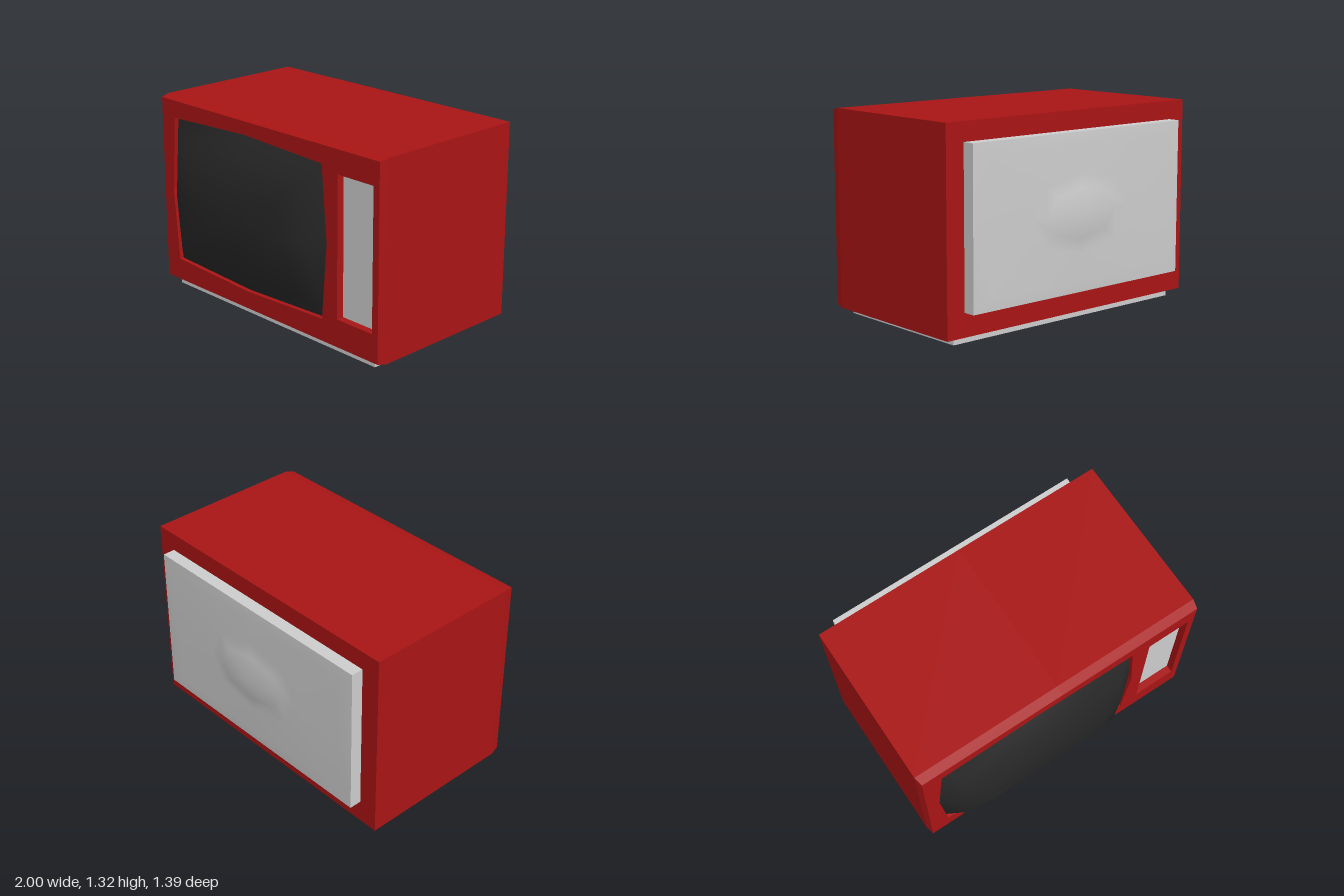
import * as THREE from 'three';

const grey = new THREE.MeshStandardMaterial({ color: 0xcccccc });
const red = new THREE.MeshStandardMaterial({ color: 0xa81414 });
const black = new THREE.MeshStandardMaterial({ color: 0x262626 });

// Eight-point outline, counter-clockwise from +z; k pulls in the corners
function outline(cx, cy, w, h, z, k = 1) {
  return [[1, 0], [k, k], [0, 1], [-k, k], [-1, 0], [-k, -k], [0, -1], [k, -k]]
    .map(([x, y]) => new THREE.Vector3(cx + x * w, cy + y * h, z));
}

// Joins outlines into a skin, optionally closed at the end by a fan to a tip
function loft(rings, tip, flat) {
  const n = rings[0].length, index = [];
  const points = rings.flat();
  for (let i = 0; i < rings.length - 1; i++) {
    for (let j = 0; j < n; j++) {
      const a = i * n + j, b = i * n + (j + 1) % n;
      index.push(a, b, b + n, a, b + n, a + n);
    }
  }
  if (tip) {
    const last = (rings.length - 1) * n;
    for (let j = 0; j < n; j++) index.push(points.length, last + j, last + (j + 1) % n);
    points.push(tip);
  }
  let geo = new THREE.BufferGeometry().setFromPoints(points);
  geo.setIndex(index);
  if (flat) geo = geo.toNonIndexed();
  geo.computeVertexNormals();
  return geo;
}

export function createModel() {
  const model = new THREE.Group();
  model.name = 'television';
  const add = (parent, name, geo, mat, x = 0, y = 0, z = 0) => {
    const mesh = new THREE.Mesh(geo, mat);
    mesh.name = name;
    mesh.position.set(x, y, z);
    parent.add(mesh);
    return mesh;
  };

  // Cabinet: outer walls with a small front chamfer, open-holed front, closed back
  const cabinet = new THREE.Group();
  cabinet.name = 'cabinet';
  model.add(cabinet);
  const cy = 0.685, front = 0.57, back = -0.555;
  const edge = outline(0, cy, 0.987, 0.622, front);
  add(cabinet, 'cabinetWalls', loft([
    outline(0, cy, 1, 0.635, back), outline(0, cy, 1, 0.635, 0.51), edge,
  ], null, true), red);
  add(cabinet, 'cabinetBack', new THREE.PlaneGeometry(2, 1.27), red, 0, cy, back).rotation.y = Math.PI;

  const screenEdge = z => outline(-0.17, 0.7, 0.73, 0.52, z, 0.944);
  const panelEdge = z => outline(0.795, 0.7, 0.145, 0.455, z);
  const face = new THREE.Shape(edge);
  for (const hole of [screenEdge(front), panelEdge(front)]) face.holes.push(new THREE.Path(hole));
  add(cabinet, 'cabinetFront', new THREE.ShapeGeometry(face), red, 0, 0, front);
  add(cabinet, 'screenRecess', loft([screenEdge(front), screenEdge(0.54)], null, true), red);
  add(cabinet, 'panelRecess', loft([panelEdge(front), panelEdge(0.52)], null, true), red);

  // Recessed control panel
  add(model, 'controlPanel', new THREE.PlaneGeometry(0.29, 0.91), grey, 0.795, 0.7, 0.52);

  // Bulging picture tube
  add(model, 'screen', loft([
    screenEdge(0.54),
    outline(-0.17, 0.7, 0.6, 0.38, 0.645, 0.94),
    outline(-0.17, 0.7, 0.43, 0.2, 0.695, 0.93),
  ], new THREE.Vector3(-0.17, 0.7, 0.697)), black);

  // Back cover: straight sides and a shallow faceted bulge rising to a point
  const cover = new THREE.Group();
  cover.name = 'backCover';
  model.add(cover);
  const rim = z => outline(0, 0.7, 0.87, 0.5, z).reverse();
  add(cover, 'coverSides', loft([rim(back), rim(-0.636)], null, true), grey);
  add(cover, 'coverBulge', loft([
    rim(-0.636),
    outline(0, 0.7, 0.78, 0.43, -0.643, 0.95).reverse(),
    outline(0.01, 0.7, 0.4, 0.25, -0.645, 0.75).reverse(),
    outline(0.02, 0.7, 0.28, 0.16, -0.655, 0.72).reverse(),
  ], new THREE.Vector3(0.03, 0.7, -0.697)), grey);

  // Base plate and cabinet underside
  add(model, 'base', new THREE.BoxGeometry(1.84, 0.05, 1.01), grey, -0.01, 0.025, 0.005);
  return model;
}
